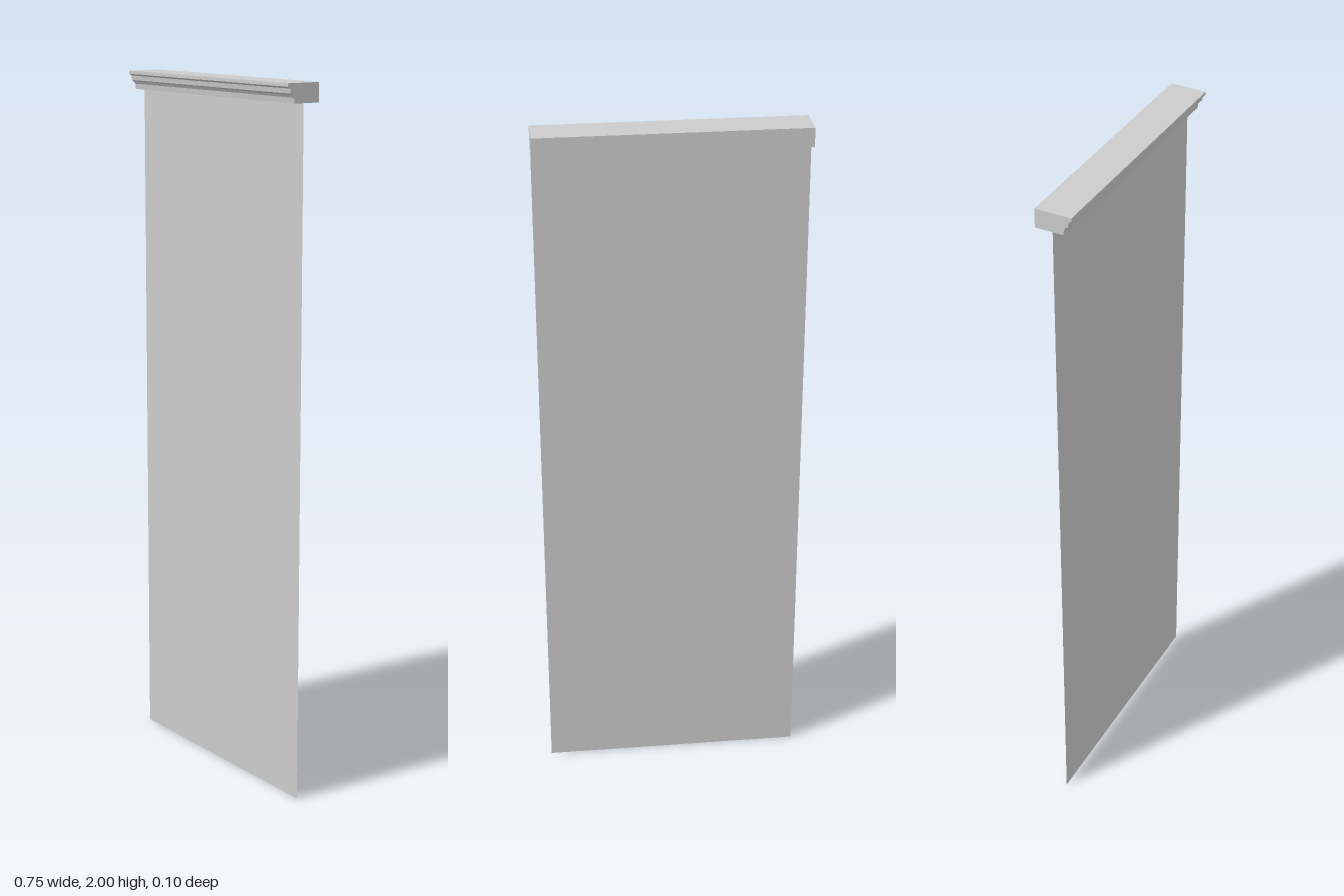
import * as THREE from 'three';

export function createModel() {
  const group = new THREE.Group();
  const width = 0.746;

  // Moulded head rail: (z, y) profile swept along x
  const profile = [
    [-0.052, 1.947], [0.028, 1.947], [0.03, 1.962], [0.035, 1.969],
    [0.041, 1.973], [0.043, 1.986], [0.051, 1.991], [0.051, 2], [-0.052, 2],
  ];
  const shape = new THREE.Shape(profile.map(([z, y]) => new THREE.Vector2(z, y)));
  const railGeometry = new THREE.ExtrudeGeometry(shape, { depth: width, bevelEnabled: false });
  railGeometry.translate(0, 0, -width / 2).rotateY(-Math.PI / 2);
  const rail = new THREE.Mesh(
    railGeometry,
    new THREE.MeshStandardMaterial({ color: 0xcccccc, flatShading: true })
  );
  rail.name = 'headRail';
  group.add(rail);

  // Flat sheet hanging from the underside of the rail
  const drop = 1.95;
  const sheet = new THREE.Mesh(
    new THREE.PlaneGeometry(width, drop),
    new THREE.MeshStandardMaterial({ color: 0xcccccc, side: THREE.DoubleSide })
  );
  sheet.name = 'hangingSheet';
  sheet.position.set(0, drop / 2, -0.002);
  group.add(sheet);

  return group;
}
